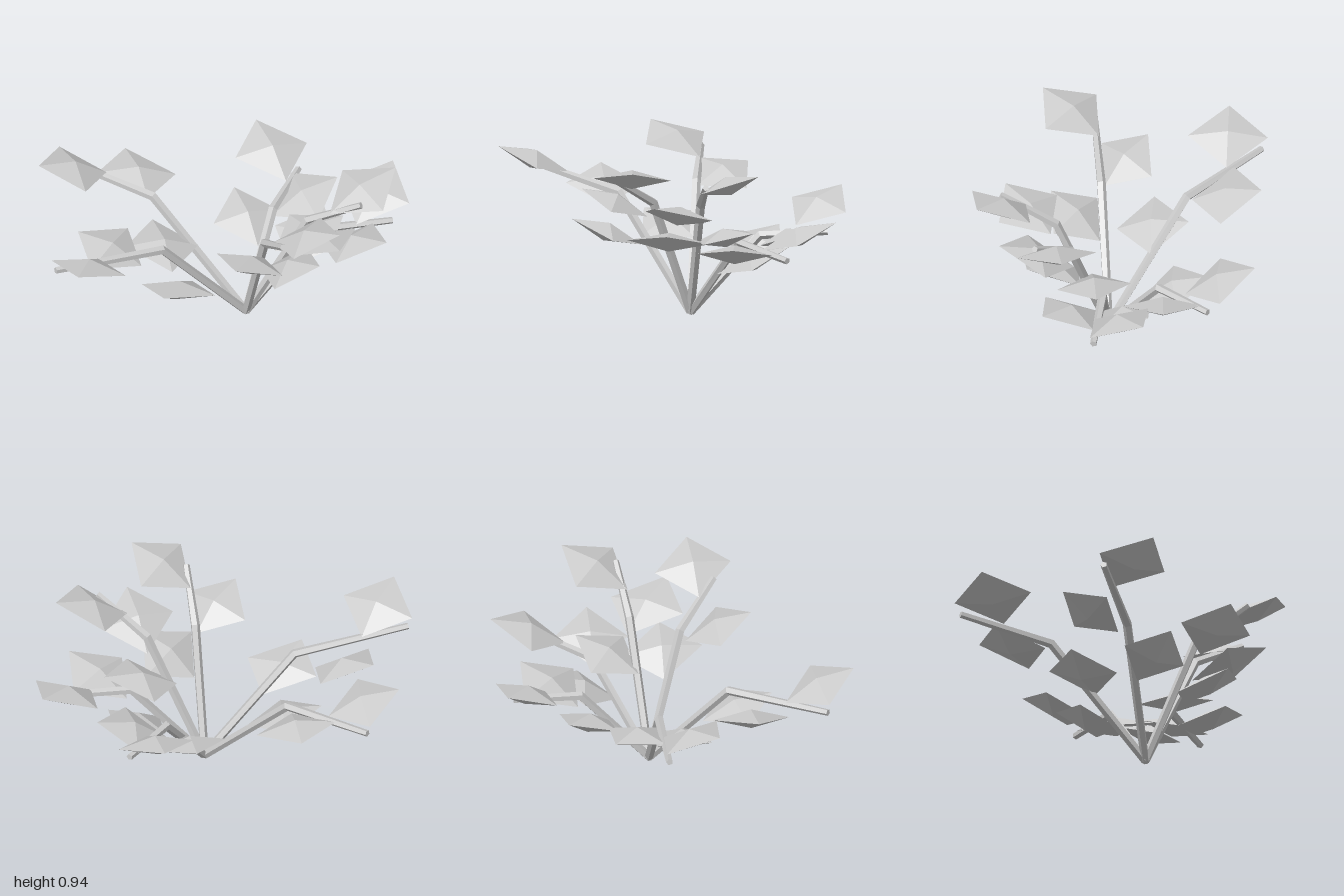
import * as THREE from 'three';

const material = new THREE.MeshStandardMaterial({ color: 0xcccccc, flatShading: true, side: THREE.DoubleSide });
const V = (a) => new THREE.Vector3(...a);
const ROOT = [0.112, 0.015, 0.045];
const SIDES = 5, STEM_RADII = [0.023, 0.025, 0.018], LEAF_RISE = 0.05;

function meshFrom(name, points, index) {
  const geometry = new THREE.BufferGeometry().setFromPoints(points);
  geometry.setIndex(index);
  const flat = geometry.toNonIndexed();
  flat.computeVertexNormals();
  const mesh = new THREE.Mesh(flat, material);
  mesh.name = name;
  return mesh;
}

// Five-sided stem with one mitred bend and closed ends
function makeStem(bend, tip) {
  const path = [ROOT, bend, tip].map(V);
  const lower = path[1].clone().sub(path[0]).normalize();
  const upper = path[2].clone().sub(path[1]).normalize();
  const tangents = [lower, lower.clone().add(upper).normalize(), upper];
  const side = new THREE.Vector3(-lower.z, 0, lower.x).normalize();
  const points = [], index = [];
  path.forEach((p, i) => {
    const up = new THREE.Vector3().crossVectors(side, tangents[i]).normalize();
    for (let s = 0; s < SIDES; s++) {
      const a = (s / SIDES) * Math.PI * 2;
      points.push(p.clone()
        .addScaledVector(side, Math.cos(a) * STEM_RADII[i])
        .addScaledVector(up, Math.sin(a) * STEM_RADII[i]));
    }
  });
  for (let i = 0; i < 2; i++) {
    for (let s = 0; s < SIDES; s++) {
      const a = i * SIDES + s, b = i * SIDES + (s + 1) % SIDES;
      index.push(a, a + SIDES, b, b, a + SIDES, b + SIDES);
    }
  }
  for (let s = 1; s < SIDES - 1; s++) {
    index.push(0, s, s + 1, 2 * SIDES, 2 * SIDES + s + 1, 2 * SIDES + s);
  }
  return meshFrom('stem', points, index);
}

// Flattened octahedral leaf: three rim corners in order, the fourth completes the rim,
// with a peak above and below its centre
function makeLeaf([p, q, r]) {
  const a = V(p), b = V(q), c = V(r);
  const d = a.clone().add(c).sub(b);
  const normal = c.clone().sub(a).cross(b.clone().sub(a)).normalize();
  const centre = a.clone().add(c).multiplyScalar(0.5);
  const top = centre.clone().addScaledVector(normal, LEAF_RISE);
  const bottom = centre.clone().addScaledVector(normal, -LEAF_RISE);
  const index = [];
  for (let i = 0; i < 4; i++) {
    const next = (i + 1) % 4;
    index.push(next, i, 4, i, next, 5);
  }
  return meshFrom('leaf', [a, b, c, d, top, bottom], index);
}

function makeBranch(name, bend, tip, leaves) {
  const branch = new THREE.Group();
  branch.name = name;
  branch.add(makeStem(bend, tip), ...leaves.map(makeLeaf));
  return branch;
}

export function createModel() {
  const plant = new THREE.Group();
  plant.name = 'plant';

  plant.add(makeBranch('backRightBranch', [-0.29, 0.58, -0.33], [-0.68, 0.64, -0.69], [
    [[-0.69, 0.705, -0.72], [-0.49, 0.64, -0.52], [-0.665, 0.71, -0.30]],
    [[-0.33, 0.62, -0.72], [-0.11, 0.545, -0.525], [-0.31, 0.55, -0.355]],
    [[-0.29, 0.42, -0.34], [-0.09, 0.34, -0.16], [-0.29, 0.35, 0.04]],
  ]));

  plant.add(makeBranch('rightBranch', [-0.37, 0.58, 0.13], [-0.98, 0.645, 0.23], [
    [[-1.0, 0.705, 0.215], [-0.73, 0.63, 0.175], [-0.66, 0.705, 0.45]],
    [[-0.77, 0.63, -0.08], [-0.485, 0.56, -0.125], [-0.48, 0.49, 0.12]],
    [[-0.49, 0.40, 0.16], [-0.20, 0.33, 0.12], [-0.145, 0.40, 0.36]],
  ]));

  plant.add(makeBranch('frontBranch', [0.135, 0.66, 0.32], [0.155, 0.84, 0.61], [
    [[-0.13, 0.66, 0.34], [0.125, 0.585, 0.35], [0.15, 0.66, 0.62]],
    [[0.145, 0.785, 0.48], [0.41, 0.85, 0.43], [0.435, 0.935, 0.71]],
    [[0.15, 0.40, 0.21], [0.41, 0.46, 0.16], [0.40, 0.545, 0.45]],
  ]));

  plant.add(makeBranch('frontLeftBranch', [0.40, 0.68, 0.215], [0.645, 0.85, 0.385], [
    [[0.635, 0.845, 0.06], [0.88, 0.93, 0.22], [0.74, 0.855, 0.47]],
    [[0.40, 0.58, 0.20], [0.63, 0.66, 0.33], [0.47, 0.735, 0.59]],
    [[0.39, 0.485, -0.10], [0.64, 0.545, 0.06], [0.50, 0.495, 0.28]],
  ]));

  plant.add(makeBranch('leftBranch', [0.50, 0.47, 0.04], [0.91, 0.45, 0.05], [
    [[0.70, 0.55, -0.22], [0.99, 0.63, -0.22], [1.0, 0.55, 0.06]],
    [[0.52, 0.39, 0.07], [0.80, 0.46, 0.06], [0.80, 0.53, 0.33]],
    [[0.34, 0.35, -0.20], [0.61, 0.42, -0.21], [0.62, 0.34, 0.05]],
  ]));

  plant.add(makeBranch('backLeftBranch', [0.34, 0.43, -0.24], [0.56, 0.445, -0.52], [
    [[0.395, 0.63, -0.755], [0.625, 0.55, -0.59], [0.455, 0.48, -0.39]],
    [[0.51, 0.45, -0.49], [0.71, 0.52, -0.30], [0.54, 0.44, -0.07]],
    [[0.20, 0.42, -0.49], [0.40, 0.34, -0.34], [0.23, 0.28, -0.14]],
  ]));

  return plant;
}
